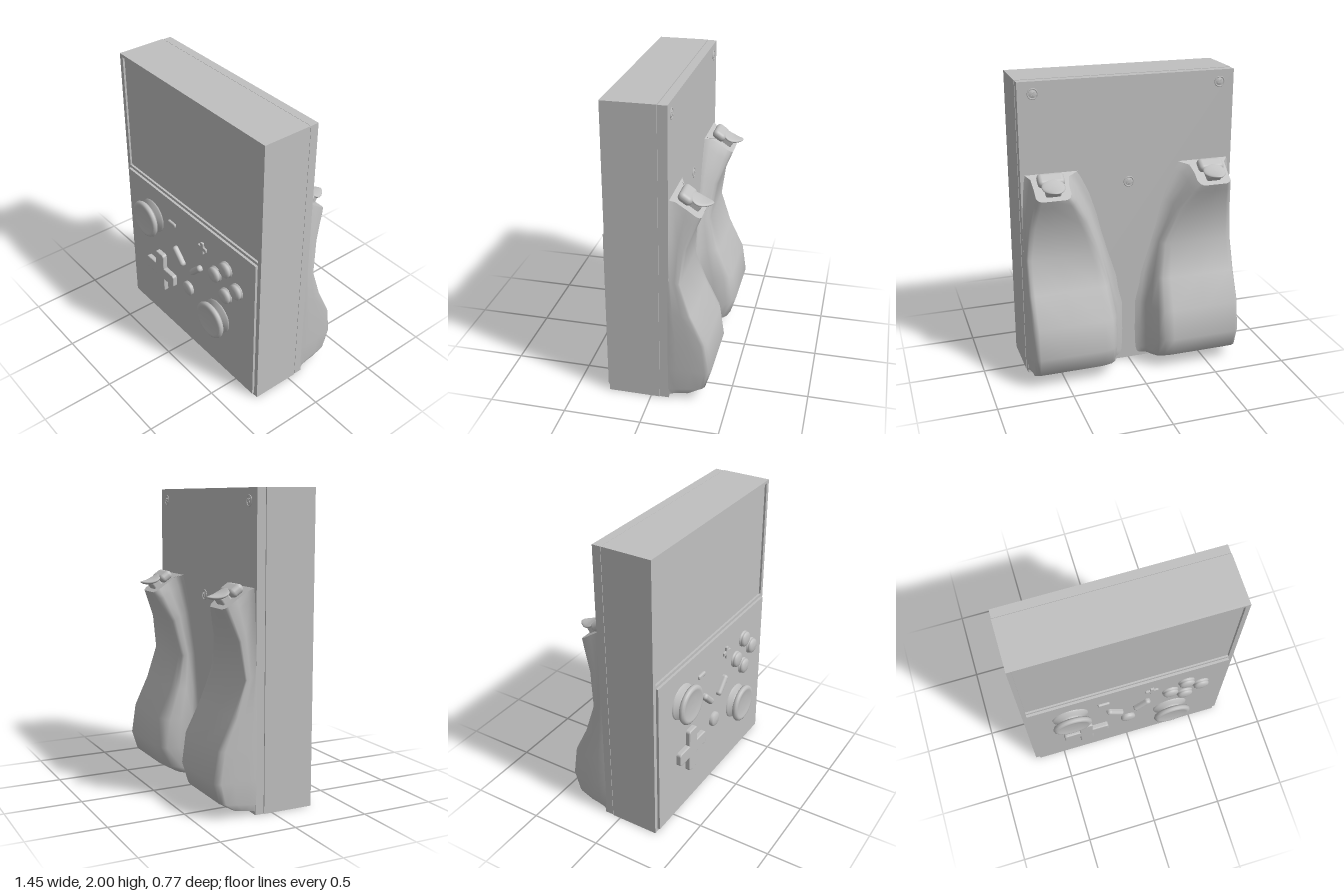
import * as THREE from 'three';
import { RoundedBoxGeometry } from 'three/addons/geometries/RoundedBoxGeometry.js';

export function createModel() {
  const root = new THREE.Group();
  const grey = new THREE.MeshStandardMaterial({ color: 0xc0c0c0 });
  grey.name = 'grey plastic';

  const add = (name, geo, x = 0, y = 0, z = 0, parent = root) => {
    const m = new THREE.Mesh(geo, grey);
    m.name = name;
    m.position.set(x, y, z);
    parent.add(m);
    return m;
  };
  const box = (w, h, d) => new THREE.BoxGeometry(w, h, d);
  // Round part facing +z, from a profile of [radius, height] pairs
  const turned = (pts, sides = 32) => new THREE.LatheGeometry(
    pts.map(p => new THREE.Vector2(p[0], p[1])), sides).rotateX(Math.PI / 2);

  // Case: main block, front rim around the sunken screen, back plate
  add('caseBody', box(1.44, 2, 0.322), 0, 1, 0.105);
  const rim = new THREE.Shape([[-0.72, 0], [0.72, 0], [0.72, 2], [-0.72, 2]].map(p => new THREE.Vector2(...p)));
  rim.holes.push(new THREE.Path([[-0.69, 1.155], [-0.69, 1.98], [0.69, 1.98], [0.69, 1.155]].map(p => new THREE.Vector2(...p))));
  add('frontRim', new THREE.ExtrudeGeometry(rim, { depth: 0.016, bevelEnabled: false }), 0, 0, 0.266);
  add('screen', box(1.37, 0.815, 0.006), 0, 1.5675, 0.268);
  add('controlPanel', box(1.38, 1.115, 0.03), 0, 0.5775, 0.284);
  add('backPlateSeam', box(1.425, 1.985, 0.01), 0, 1, -0.058);
  add('backPlate', box(1.436, 1.996, 0.058), 0, 1, -0.089);

  // Analog sticks: flared base, stem and dished cap
  const stick = [[0.125, 0], [0.12, 0.012], [0.085, 0.024], [0.07, 0.035], [0.07, 0.045],
    [0.11, 0.047], [0.128, 0.053], [0.135, 0.066], [0.13, 0.079], [0.118, 0.086],
    [0.105, 0.086], [0.09, 0.081], [0.05, 0.077], [0, 0.076]];
  add('leftStick', turned(stick), -0.41, 0.885, 0.298);
  add('rightStick', turned(stick), 0.315, 0.465, 0.298);

  // Round buttons with collars
  const button = [[0.058, 0], [0.058, 0.008], [0.05, 0.01], [0.054, 0.018], [0.053, 0.026],
    [0.045, 0.034], [0.028, 0.04], [0, 0.042]];
  for (const [dx, dy] of [[0, 0.11], [0, -0.11], [0.11, 0], [-0.11, 0]])
    add('faceButton', turned(button, 28), 0.41 + dx, 0.825 + dy, 0.298);
  add('centreButton', turned([[0.052, 0], [0.052, 0.02], [0.044, 0.027], [0.025, 0.032], [0, 0.034]], 28), 0, 0.5, 0.298);

  // Rounded plus outline, used by the direction pad and the small plus key
  const plus = (arm, half, depth, bevel) => {
    const a = arm - bevel, h = half - bevel, r = half * 0.25, s = new THREE.Shape();
    for (let k = 0; k < 4; k++) {
      const c = Math.round(Math.cos(k * Math.PI / 2)), n = Math.round(Math.sin(k * Math.PI / 2));
      const pt = (x, y) => [x * c - y * n, x * n + y * c];
      if (k === 0) s.moveTo(...pt(h, -h)); else s.lineTo(...pt(h, -h));
      s.lineTo(...pt(a - r, -h));
      s.quadraticCurveTo(...pt(a, -h), ...pt(a, -h + r));
      s.lineTo(...pt(a, h - r));
      s.quadraticCurveTo(...pt(a, h), ...pt(a - r, h));
    }
    return new THREE.ExtrudeGeometry(s, { depth: depth - bevel, bevelThickness: bevel, bevelSize: bevel, bevelSegments: 3, curveSegments: 5 });
  };
  add('directionPad', plus(0.163, 0.048, 0.034, 0.008), -0.315, 0.458, 0.298);
  add('plusKey', plus(0.045, 0.014, 0.014, 0.003), 0.163, 0.953, 0.298);
  add('minusKey', new RoundedBoxGeometry(0.082, 0.03, 0.028, 3, 0.01), -0.175, 0.953, 0.3);
  for (const s of [-1, 1])
    add('menuKey', new RoundedBoxGeometry(0.15, 0.045, 0.06, 4, 0.02), s * 0.097, 0.725, 0.302).rotation.z = s * 0.8;

  // Back screws: raised ring, sunken head and cross slot
  for (const [x, y] of [[0.62, 1.92], [-0.62, 1.92], [0, 1.3]]) {
    const g = new THREE.Group();
    g.name = 'backScrew';
    g.position.set(x, y, -0.118);
    g.rotation.y = Math.PI;
    root.add(g);
    add('screwRing', new THREE.TorusGeometry(0.032, 0.004, 6, 24), 0, 0, 0, g);
    add('screwHead', turned([[0.026, -0.005], [0.024, 0.002], [0, 0.004]], 20), 0, 0, 0, g);
    for (const r of [0.78, -0.78]) add('screwCross', box(0.036, 0.007, 0.006), 0, 0, 0.003, g).rotation.z = r;
  }

  // Grips: rows of [y at back, y at plate, back z, outer x, inner x at back, inner x at plate]
  const rows = [
    [0.045, 0.025, -0.26, 0.70, 0.27, 0.13], [0.10, 0.07, -0.35, 0.715, 0.25, 0.115],
    [0.23, 0.23, -0.39, 0.718, 0.24, 0.11], [0.43, 0.43, -0.36, 0.718, 0.24, 0.11],
    [0.63, 0.64, -0.262, 0.716, 0.25, 0.14], [0.85, 0.88, -0.187, 0.712, 0.28, 0.19],
    [1.08, 1.16, -0.22, 0.69, 0.36, 0.28], [1.23, 1.35, -0.28, 0.665, 0.43, 0.37],
    [1.28, 1.41, -0.30, 0.655, 0.46, 0.41]];
  const z0 = -0.112;
  const section = ([yb, yp, zb, xo, xi, xp]) => {
    const d = zb - z0;
    return [[Math.min(0.718, xo + 0.04), 0], [xo + 0.005, 0.2], [xo, 0.55], [xo, 0.86], [xo - 0.012, 0.95], [xo - 0.035, 1],
      [(xo + xi) / 2, 1], [xi, 1], [xi * 0.55 + xp * 0.45, 0.93], [xi * 0.3 + xp * 0.7, 0.8],
      [xp + 0.015, 0.5], [xp, 0.2], [xp - 0.03, 0.07], [xp - 0.08, 0]]
      .map(([x, t]) => [x, yp + (yb - yp) * t, z0 + d * t]);
  };
  const surface = (verts, tris, side) => {
    const g = new THREE.BufferGeometry();
    g.setAttribute('position', new THREE.Float32BufferAttribute(verts.flatMap(([x, y, z]) => [x * side, y, z]), 3));
    g.setIndex(tris.flatMap(([a, b, c]) => side > 0 ? [a, b, c] : [a, c, b]));
    g.computeVertexNormals();
    return g;
  };
  const rings = rows.map(section), n = rings[0].length;
  for (const side of [1, -1]) {
    const grip = new THREE.Group();
    grip.name = side > 0 ? 'leftGrip' : 'rightGrip';
    root.add(grip);
    const wall = [], top = [], bottom = [];
    for (let i = 0; i < rings.length - 1; i++)
      for (let j = 0; j < n - 1; j++) {
        const a = i * n + j;
        wall.push([a, a + 1, a + n], [a + 1, a + n + 1, a + n]);
      }
    // Caps fan out from a middle point
    for (let j = 0; j < n; j++) {
      top.push([n, j, (j + 1) % n]);
      bottom.push([n, (j + 1) % n, j]);
    }
    const capped = ring => [...ring, [0, 1, 2].map(k => (ring[2][k] + ring[10][k]) / 2)];
    add('gripWall', surface(rings.flat(), wall, side), 0, 0, 0, grip);
    add('gripTop', surface(capped(rings.at(-1)), top, side), 0, 0, 0, grip);
    add('gripBottom', surface(capped(rings[0]), bottom, side), 0, 0, 0, grip);

    // Shoulder button and tongue-shaped trigger on the sloped grip top
    const bumper = add('shoulderButton', new RoundedBoxGeometry(0.175, 0.06, 0.095, 4, 0.028), side * 0.54, 1.385, -0.195, grip);
    bumper.rotation.x = -0.6;
    const tongue = new THREE.SphereGeometry(1, 28, 16);
    const p = tongue.attributes.position;
    for (let i = 0; i < p.count; i++) {
      const z = p.getZ(i);
      p.setXYZ(i, p.getX(i) * (0.072 + 0.022 * z), p.getY(i) * 0.018 + 0.022 * z * z, z * 0.075);
    }
    tongue.computeVertexNormals();
    add('trigger', tongue, side * 0.54, 1.352, -0.282, grip).rotation.x = -0.35;
    add('triggerStem', new RoundedBoxGeometry(0.1, 0.07, 0.07, 3, 0.015), side * 0.54, 1.328, -0.25, grip).rotation.x = -0.6;
  }
  return root;
}
